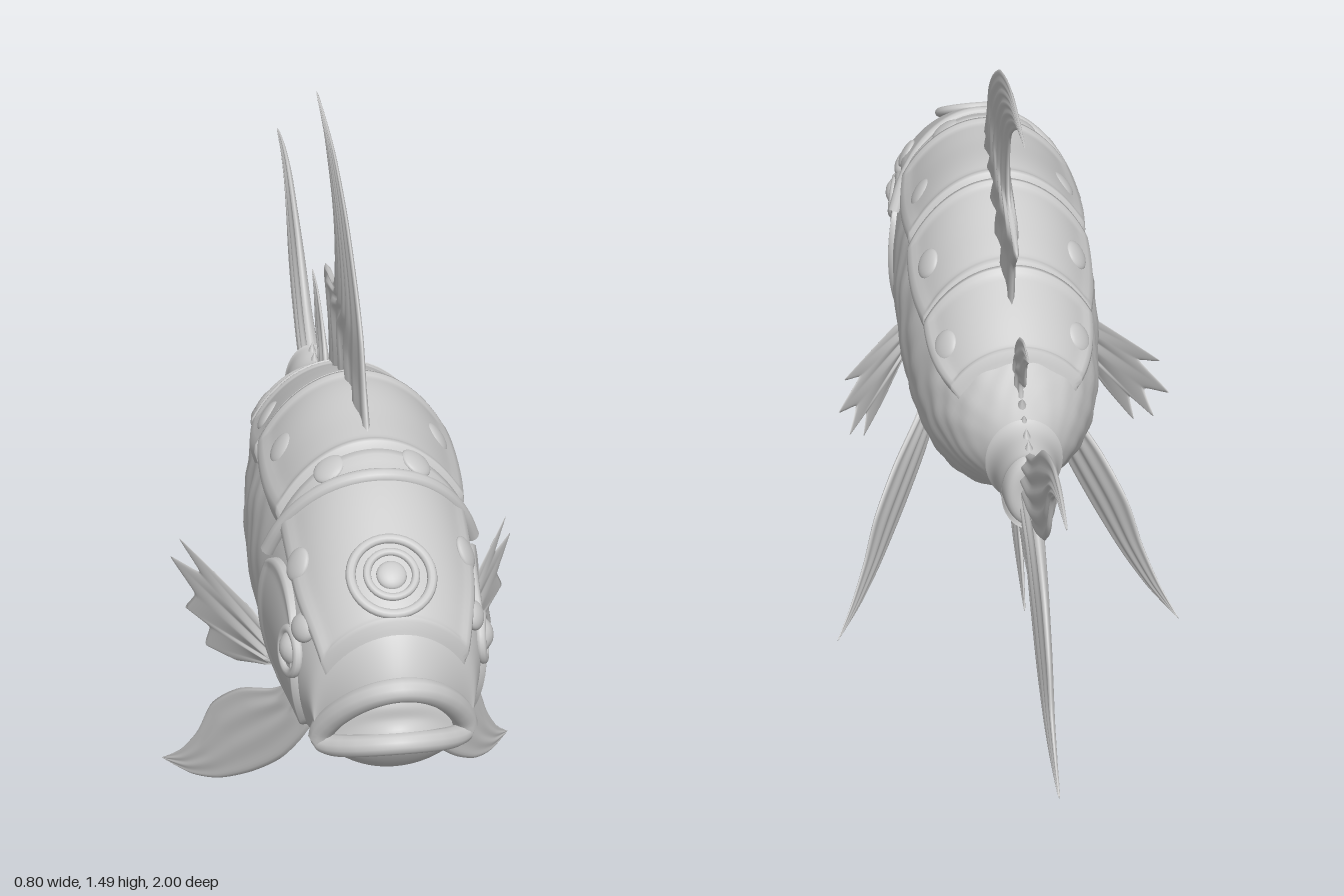
import * as THREE from 'three';
import { mergeVertices } from 'three/addons/utils/BufferGeometryUtils.js';

const material = new THREE.MeshStandardMaterial({ color: 0xcccccc, side: THREE.DoubleSide });

// Body sections from tail to mouth cavity: z, top, bottom, half width, bow (sides swept back and down)
const SECTIONS = [
  [-0.39, 0.72, 0.71, 0.005, 0], [-0.385, 0.80, 0.63, 0.05, 0], [-0.27, 0.81, 0.62, 0.072, 0],
  [-0.15, 0.865, 0.56, 0.137, 0], [-0.02, 0.94, 0.46, 0.185, 0], [0.14, 1.02, 0.37, 0.212, 0],
  [0.30, 1.075, 0.35, 0.224, 0], [0.46, 1.065, 0.365, 0.222, 0], [0.62, 1.04, 0.40, 0.21, 0],
  [0.77, 0.97, 0.45, 0.195, 0], [0.87, 0.905, 0.51, 0.172, 0.01], [0.93, 0.85, 0.555, 0.16, 0.04],
  [0.975, 0.765, 0.63, 0.15, 0.095], [0.95, 0.725, 0.67, 0.13, 0.095], [0.87, 0.71, 0.65, 0.1, 0.05],
  [0.82, 0.68, 0.67, 0.01, 0],
];

// Smooth interpolation through rows of numbers; tension 0.5 is a regular Catmull-Rom
function sample(rows, t, tension = 0.5) {
  const last = rows.length - 1;
  const i = Math.max(0, Math.min(Math.floor(t), last - 1)), f = t - i;
  const [a, b, c, d] = [i - 1, i, i + 1, i + 2].map(k => rows[Math.max(0, Math.min(k, last))]);
  return b.map((p, k) => {
    const m0 = (c[k] - a[k]) * tension, m1 = (d[k] - p) * tension, q = c[k];
    return p + m0 * f + (3 * (q - p) - 2 * m0 - m1) * f * f + (2 * (p - q) + m0 + m1) * f ** 3;
  });
}

// Point on the body: t along the sections, a is the angle from the top, off lifts it outward
function bodyPoint(t, a, off = 0) {
  const [z, top, bottom, hw, bow] = sample(SECTIONS, t);
  const s = Math.sin(a), c = Math.cos(a);
  return [(hw + off) * s, (top + bottom) / 2 + ((top - bottom) / 2 + off) * c - bow * s * s, z - bow * s * s];
}

function surface(nu, nv, fn) {
  const pos = [], index = [];
  for (let i = 0; i <= nu; i++) for (let j = 0; j <= nv; j++) pos.push(...fn(i / nu, j / nv));
  for (let i = 0; i < nu; i++) for (let j = 0; j < nv; j++) {
    const a = i * (nv + 1) + j, b = a + nv + 1;
    index.push(a, a + 1, b, b, a + 1, b + 1);
  }
  let g = new THREE.BufferGeometry();
  g.setAttribute('position', new THREE.Float32BufferAttribute(pos, 3));
  g.setIndex(index);
  g = mergeVertices(g, 1e-5);
  g.computeVertexNormals();
  return g;
}

// Raised armour patch lying on the body, with rolled edges and lobed ends
function patch(t0, t1, a0, a1, off, round = false) {
  return surface(36, 44, (u, v) => {
    let x = u * 2 - 1, y = v * 2 - 1;
    const edge = Math.max(Math.abs(x), Math.abs(y));
    if (round) [x, y] = [x * Math.sqrt(1 - y * y / 2), y * Math.sqrt(1 - x * x / 2)];
    const lift = Math.min(1, (1 - edge) / 0.1);
    const rim = 0.35 * Math.exp(-(((edge - 0.86) / 0.07) ** 2));
    const t = (t0 + t1) / 2 + x * (t1 - t0) / 2;
    const a = (a0 + a1) / 2 + y * (1 - 0.06 * x * x) * (a1 - a0) / 2;
    return bodyPoint(t, a, -0.008 + (off + 0.008) * lift * (1 + rim));
  });
}

// Fin from rows [z, y, z, y] joining two edges; a fan has its base along the first edge
function fin(rows, thick, ribs, place, fan = false) {
  return surface(48, 56, (u, w) => {
    const side = w < 0.5 ? 1 : -1, v = w < 0.5 ? 2 * w : 2 - 2 * w;
    const [z0, y0, z1, y1] = sample(rows, u * (rows.length - 1), fan ? 0.2 : 0.4);
    const across = fan ? u : v, along = fan ? v : u;
    const lens = Math.max(0, Math.sin(Math.PI * across)) ** 0.4 * Math.sqrt(1 - along) * (1 - 0.4 * along);
    const ripple = 0.75 + 0.25 * Math.cos(across * ribs * Math.PI * 2);
    return place(z0 + (z1 - z0) * v, y0 + (y1 - y0) * v, side * thick * lens * ripple);
  });
}

export function createModel() {
  const model = new THREE.Group();
  const add = (name, geometry, position) => {
    const mesh = new THREE.Mesh(geometry, material);
    mesh.name = name;
    if (position) mesh.position.set(...position);
    model.add(mesh);
    return mesh;
  };
  // Lay a part flat on the body surface
  const onBody = (name, geometry, t, a, off, scale) => {
    const p = new THREE.Vector3(...bodyPoint(t, a, off));
    const du = new THREE.Vector3(...bodyPoint(t + 0.05, a, off)).sub(p);
    const dv = new THREE.Vector3(...bodyPoint(t, a + 0.05, off)).sub(p);
    const mesh = add(name, geometry, p.toArray());
    mesh.quaternion.setFromUnitVectors(new THREE.Vector3(0, 0, 1), du.cross(dv).normalize());
    mesh.scale.set(...scale);
  };
  // Tube running around the body; along(a) gives the section for each angle
  const bodyTube = (name, from, to, along, off, r) => {
    const pts = Array.from({ length: 13 }, (_, i) => {
      const a = from + (to - from) * i / 12;
      return new THREE.Vector3(...bodyPoint(along(a), a, off));
    });
    add(name, new THREE.TubeGeometry(new THREE.CatmullRomCurve3(pts), 48, r, 12));
  };

  // Body with soft dimples on the flanks
  const last = SECTIONS.length - 1;
  add('body', surface(120, 80, (u, v) => {
    const t = u * last, a = (v * 2 - 1) * Math.PI;
    const flank = t > 2 && t < 8 ? Math.sin((t - 2) / 6 * Math.PI) : 0;
    return bodyPoint(t, a, 0.004 * flank * Math.sin(t * 8 + 2 * Math.sin(3 * a)) * Math.cos(a * 11 + 2 * Math.sin(t * 2)));
  }));

  // Lips around the open mouth
  bodyTube('upperLip', -1.6, 1.6, () => 12, -0.005, 0.025);
  bodyTube('lowerLip', 1.54, 4.74, () => 12, -0.005, 0.022);

  // Helmet with its swept rear crest, back plates and tail cuff
  add('helmet', patch(7.5, 11, -1.12, 1.12, 0.012));
  bodyTube('helmetCrest', -1.2, 1.2, a => 7.3 + 0.8 * Math.cos(a), 0.008, 0.016);
  add('frontBackPlate', patch(5.8, 7.7, -1.1, 1.1, 0.017));
  add('middleBackPlate', patch(4.45, 5.9, -1.17, 1.17, 0.014));
  add('rearBackPlate', patch(3.1, 4.55, -1.17, 1.17, 0.016));
  add('tailCuff', surface(24, 48, (u, v) =>
    bodyPoint(1 + u, (v * 2 - 1) * Math.PI, 0.003 + 0.008 * Math.abs(2 * u - 1) ** 4)));

  // Forehead boss and small spines before the tail
  const ball = new THREE.SphereGeometry(1, 20, 14);
  onBody('foreheadRing', new THREE.TorusGeometry(0.08, 0.01, 10, 40), 9.65, 0, 0.008, [1, 1, 1]);
  onBody('foreheadInnerRing', new THREE.TorusGeometry(0.048, 0.008, 10, 32), 9.65, 0, 0.012, [1, 1, 1]);
  onBody('foreheadBoss', ball, 9.65, 0, 0.01, [0.03, 0.03, 0.014]);
  for (const t of [1.3, 1.65, 2, 2.35])
    onBody('tailSpine', new THREE.ConeGeometry(0.016, 0.03, 8).rotateX(Math.PI / 2), t, 0, 0.01, [0.7, 1, 1]);

  for (const [side, m] of [['left', 1], ['right', -1]]) {
    // Gill cover, eye and brow
    add(side + 'GillCover', patch(7.3, 9.6, m * 1.05, m * 2.3, 0.007, true));
    add(side + 'Eye', ball, [m * 0.175, 0.752, 0.785]).scale.setScalar(0.04);
    onBody(side + 'EyeSocket', new THREE.TorusGeometry(0.044, 0.011, 10, 32), 9.13, m * 1.43, 0.002, [1, 1, 1]);
    onBody(side + 'Brow', ball, 9.4, m * 1.1, 0.004, [0.035, 0.03, 0.018]);
    // Studs on the armour
    for (const [t, a] of [[7.75, 0.4], [8.6, 0.9], [6.6, 0.75], [5.2, 0.8], [3.9, 0.85]])
      onBody(side + 'PlateStud', ball, t, m * a, 0.012, [0.035, 0.035, 0.012]);

    // Pectoral fin with spiked outer edge
    add(side + 'PectoralFin', fin([
      [0.51, 0.58, 0.42, 0.615], [0.5, 0.575, 0.165, 0.65], [0.5, 0.565, 0.235, 0.605],
      [0.49, 0.555, 0.13, 0.585], [0.49, 0.545, 0.215, 0.54], [0.485, 0.535, 0.18, 0.485],
      [0.48, 0.53, 0.265, 0.485], [0.48, 0.52, 0.25, 0.43], [0.47, 0.51, 0.36, 0.455],
    ], 0.02, 4, (z, y, th) => [m * (0.195 + 0.51 * (0.48 - z) + th), y, z], true));

    // Long pelvic fin sweeping down and outward
    add(side + 'PelvicFin', fin([
      [0.5, 0.47, 0.42, 0.43], [0.49, 0.36, 0.37, 0.385], [0.42, 0.24, 0.27, 0.325],
      [0.33, 0.145, 0.19, 0.24], [0.23, 0.065, 0.15, 0.14], [0.14, 0.02, 0.1, 0.06], [0.04, 0, 0.04, 0],
    ], 0.018, 3, (z, y, th) => [m * (0.106 + 0.085 * (0.42 - y) + 0.56 * (0.5 - z) + th), y, z]));
  }

  // Fins on the centre line
  const centre = (z, y, th) => [th, y, z];
  add('dorsalFin', fin([
    [0.55, 1.02, -0.02, 0.92], [0.5, 1.1, -0.06, 1.06], [0.475, 1.145, -0.13, 1.14],
    [0.43, 1.235, 0.02, 1.17], [0.36, 1.3, 0.04, 1.25], [0.2, 1.4, 0, 1.35],
    [0, 1.465, -0.13, 1.445], [-0.27, 1.485, -0.27, 1.485],
  ], 0.024, 6, centre));
  add('rearDorsalFin', fin([
    [-0.1, 0.86, -0.22, 0.8], [-0.13, 0.92, -0.21, 0.87], [-0.18, 0.97, -0.28, 0.91],
    [-0.26, 1.01, -0.31, 0.98], [-0.35, 1.02, -0.35, 1.02],
  ], 0.014, 3, centre));
  add('upperTailFin', fin([
    [-0.36, 0.8, -0.36, 0.68], [-0.47, 0.87, -0.52, 0.715], [-0.6, 0.98, -0.65, 0.79],
    [-0.7, 1.04, -0.72, 0.87], [-0.8, 1.08, -0.77, 0.98], [-0.9, 1.09, -0.86, 1.05], [-1, 1.08, -1, 1.08],
  ], 0.024, 4, centre));
  add('lowerTailFin', fin([
    [-0.36, 0.63, -0.36, 0.75], [-0.42, 0.58, -0.52, 0.715], [-0.5, 0.47, -0.65, 0.65],
    [-0.6, 0.39, -0.74, 0.55], [-0.72, 0.35, -0.79, 0.45], [-0.82, 0.34, -0.86, 0.385], [-0.93, 0.345, -0.93, 0.345],
  ], 0.024, 4, centre));
  add('frontAnalFin', fin([
    [0, 0.5, -0.14, 0.58], [-0.03, 0.44, -0.18, 0.49], [-0.09, 0.38, -0.23, 0.43],
    [-0.18, 0.35, -0.265, 0.375], [-0.29, 0.32, -0.29, 0.32],
  ], 0.016, 3, centre));
  add('rearAnalFin', fin([
    [-0.14, 0.59, -0.24, 0.63], [-0.17, 0.53, -0.27, 0.58], [-0.21, 0.49, -0.31, 0.54],
    [-0.27, 0.47, -0.335, 0.5], [-0.36, 0.47, -0.36, 0.47],
  ], 0.012, 3, centre));

  return model;
}
